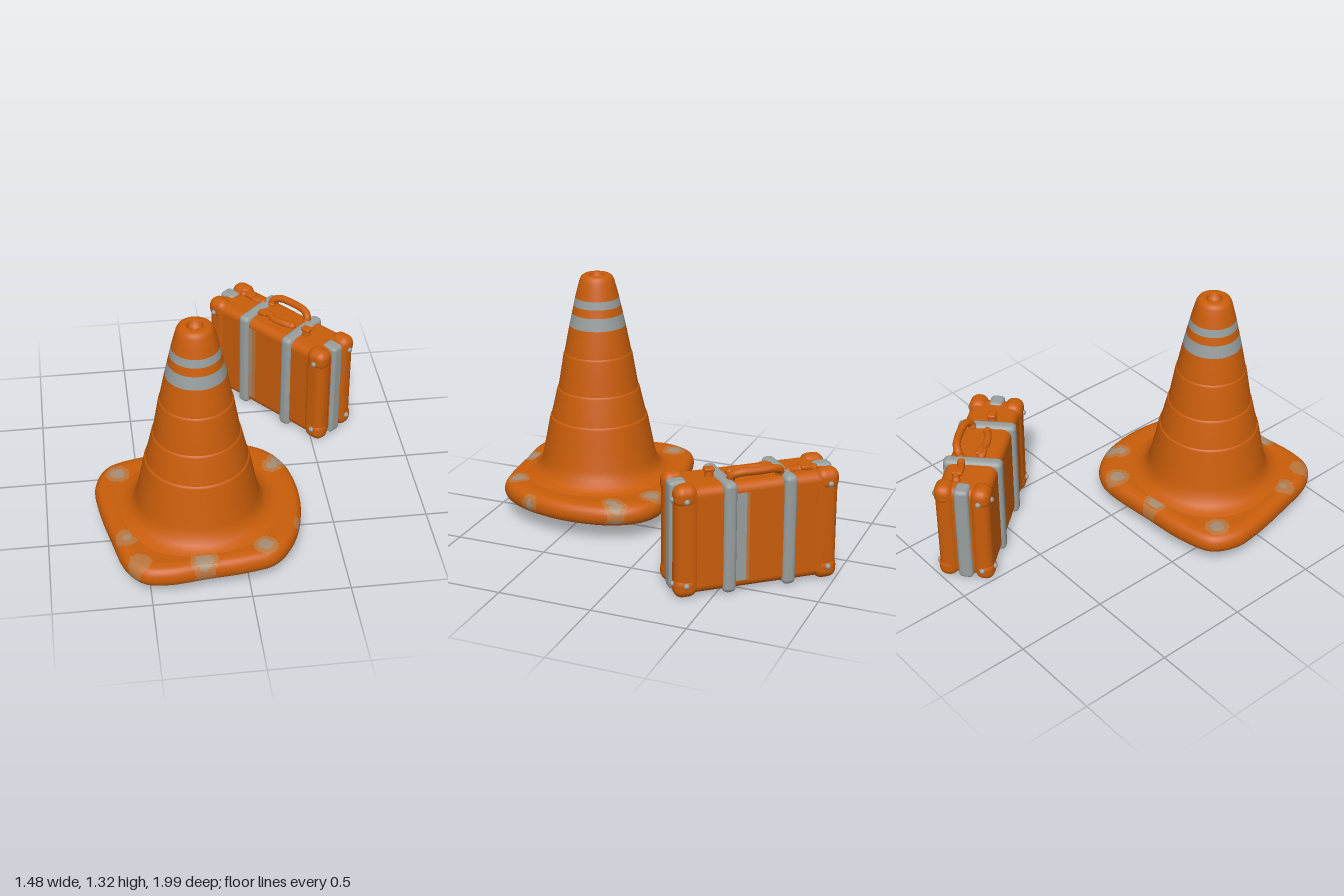
import * as THREE from 'three';
import { RoundedBoxGeometry } from 'three/addons/geometries/RoundedBoxGeometry.js';

const mat = (name, color) => {
  const m = new THREE.MeshStandardMaterial({ color });
  m.name = name;
  return m;
};

export function createModel() {
  const orange = mat('orange', 0xc95d0a);
  const grey = mat('grey', 0x979e9d);
  const worn = mat('worn orange', 0xbb763c);
  const scuff = mat('scuffed grey', 0xa68c74);
  const model = new THREE.Group();

  const add = (parent, name, geo, material, x = 0, y = 0, z = 0) => {
    const m = new THREE.Mesh(geo, material);
    m.name = name;
    m.position.set(x, y, z);
    parent.add(m);
    return m;
  };
  const rbox = (w, h, d, r) => new RoundedBoxGeometry(w, h, d, 4, r);

  // ---------- Traffic cone ----------
  const CX = -0.22, CZ = 0.5;
  const cone = new THREE.Group();
  cone.name = 'cone';
  cone.position.set(CX, 0, CZ);
  model.add(cone);

  // Base slab: warped outline swept through a rounded edge profile
  const n = 260;
  const outline = new THREE.CatmullRomCurve3([
    [-0.5, 0.06], [-0.25, 0.035], [0, 0.015], [0.1, 0.022], [0.2, 0.08], [0.28, 0.2], [0.318, 0.38],
    [0.31, 0.57], [0.25, 0.77], [0.14, 0.91], [0, 0.95], [-0.22, 0.972], [-0.42, 0.992],
    [-0.54, 0.97], [-0.62, 0.88], [-0.68, 0.66], [-0.73, 0.4], [-0.735, 0.25], [-0.67, 0.12],
  ].map(([x, z]) => new THREE.Vector3(x - CX, 0, z - CZ)), true).getSpacedPoints(n).slice(0, n);
  const edge = new THREE.CatmullRomCurve3([
    [0, 0.1], [0.5, 0.1], [0.92, 0.1], [0.975, 0.112], [1, 0.145], [0.992, 0.178],
    [0.955, 0.202], [0.88, 0.212], [0.78, 0.21], [0.6, 0.208],
  ].map(([s, y]) => new THREE.Vector3(s, y, 0))).getSpacedPoints(100);
  // Worn patches: x, z, outer radius, scuffed core radius
  const spots = [[-0.615, 0.21, 0.065, 0.038], [-0.26, 0.095, 0.068, 0.042], [0.04, 0.08, 0.065, 0.038],
    [0.205, 0.24, 0.055, 0.03], [0.24, 0.2, 0.06, 0.034], [-0.6, 0.715, 0.06, 0.02], [-0.55, 0.9, 0.058, 0],
    [-0.235, 0.925, 0.07, 0.046], [0.085, 0.85, 0.062, 0.038], [0.305, 0.7, 0.055, 0.032]];
  const pos = [], buckets = [[], [], []];
  for (const e of edge) for (const p of outline) pos.push(p.x * e.x, e.y, p.z * e.x);
  for (let i = 0; i < edge.length - 1; i++) {
    for (let j = 0; j < n; j++) {
      const a = i * n + j, b = i * n + (j + 1) % n;
      const mid = k => (pos[a * 3 + k] + pos[(b + n) * 3 + k]) / 2;
      let bucket = 0;
      for (const [sx, sz, outer, core] of mid(1) > 0.118 ? spots : []) {
        const d = Math.hypot(mid(0) + CX - sx, mid(2) + CZ - sz);
        bucket = Math.max(bucket, d < core ? 2 : d < outer ? 1 : 0);
      }
      buckets[bucket].push(a, a + n, b, b, a + n, b + n);
    }
  }
  const baseGeo = new THREE.BufferGeometry();
  baseGeo.setAttribute('position', new THREE.Float32BufferAttribute(pos, 3));
  baseGeo.setIndex(buckets.flat());
  let start = 0;
  buckets.forEach((b, k) => { baseGeo.addGroup(start, b.length, k); start += b.length; });
  baseGeo.computeVertexNormals();
  add(cone, 'coneBase', baseGeo, [orange, worn, scuff]);

  // Cone body in stepped tiers, listed bottom to top as [radius, y]
  const lathe = (name, pts, material) =>
    add(cone, name, new THREE.LatheGeometry(pts.map(p => new THREE.Vector2(...p)), 64), material);
  lathe('coneSkirt', [[0.45, 0.203], [0.39, 0.213], [0.35, 0.233], [0.325, 0.265], [0.312, 0.31],
    [0.29, 0.42], [0.268, 0.53], [0.264, 0.54], [0.255, 0.544]], orange);
  lathe('lowerTier', [[0.259, 0.538], [0.259, 0.548], [0.242, 0.62], [0.226, 0.69], [0.222, 0.7], [0.214, 0.704]], orange);
  lathe('middleTier', [[0.218, 0.698], [0.218, 0.708], [0.202, 0.8], [0.187, 0.89], [0.183, 0.9], [0.176, 0.904]], orange);
  lathe('upperTier', [[0.18, 0.898], [0.18, 0.908], [0.166, 0.98], [0.152, 1.05]], orange);
  lathe('wideBand', [[0.152, 1.05], [0.137, 1.118]], grey);
  lathe('gapBand', [[0.137, 1.118], [0.127, 1.162]], orange);
  lathe('narrowBand', [[0.127, 1.162], [0.118, 1.205]], grey);
  lathe('coneTip', [[0.118, 1.205], [0.104, 1.26], [0.093, 1.3], [0.084, 1.318], [0.07, 1.328], [0.045, 1.329],
    [0.037, 1.325], [0.033, 1.295], [0, 1.29]], orange);

  // ---------- Suitcase (long side on local x) ----------
  const suitcase = new THREE.Group();
  suitcase.name = 'suitcase';
  suitcase.position.set(0.372, 0, -0.588);
  suitcase.rotation.y = -0.877;
  model.add(suitcase);
  add(suitcase, 'suitcaseBody', rbox(0.82, 0.565, 0.272, 0.045), orange, 0, 0.3, 0);

  for (const sx of [-1, 1]) {
    // Straps around the case, set slightly askew
    const strap = add(suitcase, 'strap', rbox(0.07, 0.59, 0.312, 0.028), grey, sx * 0.157, 0.302, 0);
    strap.rotation.y = 0.075;
    // Centre strip on each end
    add(suitcase, 'endStrip', rbox(0.095, 0.58, 0.078, 0.022), grey, sx * 0.382, 0.302, 0);

    for (const sz of [-1, 1]) {
      // Padded upright edges, corner guards and their rivets
      add(suitcase, 'edgePad', rbox(0.13, 0.575, 0.104, 0.046), orange, sx * 0.362, 0.3, sz * 0.091);
      for (const sy of [-1, 1]) {
        const y = 0.302 + sy * 0.24;
        add(suitcase, 'cornerGuard', rbox(0.122, 0.115, 0.102, 0.046), orange, sx * 0.37, y, sz * 0.097);
        const rivet = new THREE.SphereGeometry(0.015, 16, 10);
        add(suitcase, 'sideRivet', rivet, grey, sx * 0.375, y - sy * 0.015, sz * 0.147);
        if (sx * sz < 0) add(suitcase, 'endRivet', rivet, grey, sx * 0.43, y - sy * 0.015, sz * 0.092);
      }
    }
  }
  // Faded strips beside one strap on each broad face
  const plate = (name, w, material, x, z) => add(suitcase, name, new THREE.BoxGeometry(w, 0.47, 0.006), material, x, 0.3, z);
  plate('fadedStrip', 0.06, grey, 0.092, -0.135);
  plate('fadedEdge', 0.016, worn, 0.054, -0.135);
  plate('fadedStrip', 0.035, scuff, -0.105, 0.135);
  plate('fadedEdge', 0.025, worn, -0.075, 0.135);

  // Tube through a short list of points, closed with round ends
  const rope = (name, pts, r) => {
    const v = pts.map(p => new THREE.Vector3(...p));
    add(suitcase, name, new THREE.TubeGeometry(new THREE.CatmullRomCurve3(v), 48, r, 12), orange);
    for (const p of [v[0], v[v.length - 1]]) {
      add(suitcase, name + 'End', new THREE.SphereGeometry(r * 1.15, 16, 10), orange, p.x, p.y, p.z);
    }
  };
  rope('handle', [[-0.13, 0.585, -0.075], [-0.125, 0.612, -0.085], [-0.09, 0.629, -0.1], [0, 0.632, -0.108],
    [0.09, 0.629, -0.1], [0.125, 0.612, -0.085], [0.13, 0.585, -0.075]], 0.021);
  // Clasp strips lying on the lid
  rope('claspStrip', [[-0.11, 0.586, 0.035], [-0.06, 0.59, 0.02], [-0.02, 0.586, 0.035], [0.05, 0.59, 0.03], [0.1, 0.586, 0.015]], 0.02);
  rope('claspStrip', [[-0.32, 0.582, -0.045], [-0.28, 0.588, -0.055], [-0.24, 0.584, -0.045], [-0.18, 0.584, -0.055]], 0.02);
  for (const [x, z] of [[-0.09, 0.03], [-0.27, -0.05]]) {
    add(suitcase, 'claspPlate', rbox(0.05, 0.02, 0.055, 0.008), orange, x, 0.598, z);
  }
  // Lock knob
  add(suitcase, 'lockStem', new THREE.CylinderGeometry(0.02, 0.025, 0.04, 16), orange, 0.208, 0.595, 0.017);
  add(suitcase, 'lockKnob', rbox(0.055, 0.02, 0.045, 0.009), orange, 0.208, 0.617, 0.017);

  return model;
}
